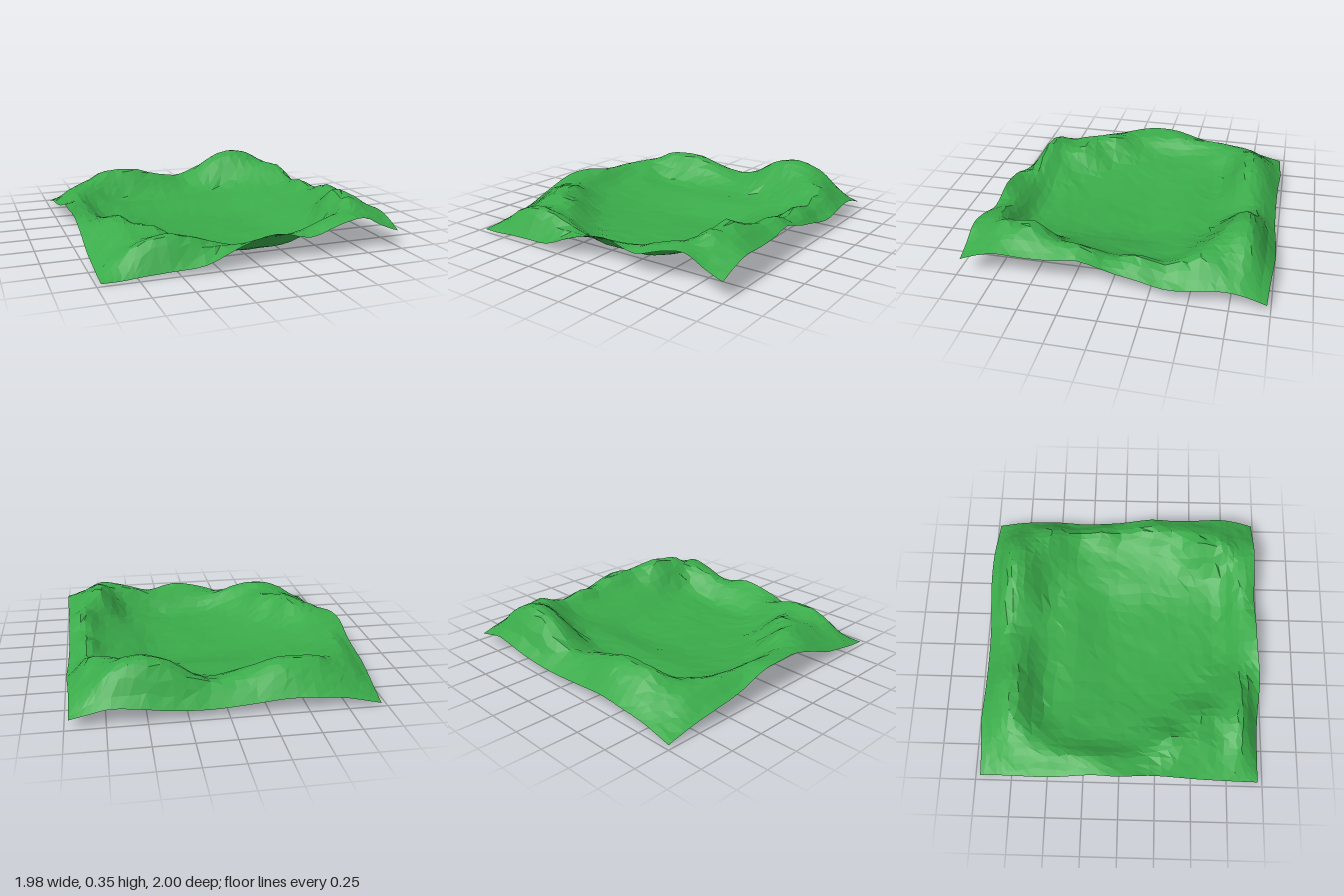
import * as THREE from 'three';

// Control lines, closer together near the rim; used for both x and z
const LINES = [-0.97, -0.85, -0.72, -0.55, -0.35, -0.12, 0.12, 0.35, 0.55, 0.72, 0.85, 0.97];

// Heights in hundredths: rows run back to front, columns run -x to +x
const HEIGHTS = [
  [1, 4, 7, 9, 9, 7, 6, 8, 11, 12, 9, 6],
  [4, 9, 15, 21, 23, 18, 18, 29, 33, 28, 18, 10],
  [7, 15, 20, 25, 26, 20, 15, 29, 34, 29, 21, 12],
  [10, 18, 18, 11, 9, 9, 9, 12, 20, 26, 25, 11],
  [13, 19, 13, 9, 7, 7, 7, 8, 11, 14, 18, 9],
  [19, 18, 10, 7, 4, 2, 1, 2, 8, 13, 21, 13],
  [20, 18, 12, 7, 3, 1, 1, 2, 8, 14, 23, 19],
  [14, 19, 21, 10, 4, 1, 1, 2, 8, 18, 25, 19],
  [7, 14, 20, 20, 6, 2, 1, 3, 9, 29, 28, 19],
  [4, 10, 16, 18, 12, 3, 2, 4, 13, 29, 26, 20],
  [2, 9, 17, 21, 18, 11, 12, 16, 23, 24, 21, 17],
  [1, 1, 2, 3, 5, 14, 19, 14, 20, 23, 17, 12],
];

// Small knolls and hollows on the rim: x, z, radius, height
const KNOLLS = [
  [0.91, 0.22, 0.09, 0.03],
  [0.85, 0.0, 0.09, -0.03],
  [0.87, -0.18, 0.09, 0.015],
  [0.72, 0.54, 0.07, 0.02],
  [0.74, 0.65, 0.05, -0.03],
  [0.72, 0.74, 0.06, 0.015],
  [-0.6, -0.73, 0.08, 0.02],
  [-0.88, -0.12, 0.1, 0.015],
  [-0.7, 0.32, 0.08, 0.015],
  [-0.62, 0.63, 0.07, -0.025],
];

// Smooth interpolation through a list of values at a fractional index
function sample(list, t) {
  const last = list.length - 1;
  const i = Math.min(Math.floor(t), last - 1);
  const f = t - i;
  const at = (k) => list[Math.max(0, Math.min(last, k))];
  const [a, b, c, d] = [at(i - 1), at(i), at(i + 1), at(i + 2)];
  return b + 0.5 * f * (c - a + f * (2 * a - 5 * b + 4 * c - d + f * (3 * (b - c) + d - a)));
}

const bump = (x, centre, width) => Math.exp(-(((x - centre) / width) ** 2));

function heightAt(u, v, x, z) {
  const base = sample(HEIGHTS.map((row) => sample(row, u)), v) / 100;
  return KNOLLS.reduce((y, [kx, kz, r, h]) => y + h * bump(x, kx, r) * bump(z, kz, r), base);
}

// Repeatable noise
function seeded(seed) {
  return () => {
    seed = (seed * 16807) % 2147483647;
    return seed / 2147483647;
  };
}

export function createModel() {
  const group = new THREE.Group();
  group.name = 'terrain';

  const cells = 33;
  const span = LINES.length - 1;
  const random = seeded(41);
  const geometry = new THREE.PlaneGeometry(2, 2, cells, cells).rotateX(-Math.PI / 2);
  const pos = geometry.attributes.position;

  // Drape the sheet over the height grid, with slightly irregular facets
  for (let n = 0; n < pos.count; n++) {
    const col = n % (cells + 1);
    const row = Math.floor(n / (cells + 1));
    const onBorder = col === 0 || col === cells || row === 0 || row === cells;
    const jitter = (size) => (onBorder ? 0 : (random() - 0.5) * size);
    const u = (col / cells) * span + jitter(0.2);
    const v = (row / cells) * span + jitter(0.2);
    const x0 = sample(LINES, u);
    let x = x0;
    let z = sample(LINES, v);
    const y = heightAt(u, v, x, z) + jitter(0.006);

    // Gentle outward bulges along the four borders
    if (col === 0) x -= 0.018 * (bump(z, -0.5, 0.25) + bump(z, 0, 0.15));
    if (col === cells) x += 0.018 * (bump(z, -0.45, 0.2) + bump(z, 0.75, 0.35));
    if (row === 0) z -= 0.03 * bump(x0, 0.5, 0.35) + 0.012 * bump(x0, -0.58, 0.15);
    if (row === cells) z += 0.03 * bump(x0, -0.27, 0.22);
    pos.setXYZ(n, x, Math.max(0, y), z);
  }

  const flat = geometry.toNonIndexed();
  flat.computeVertexNormals();
  flat.computeBoundingBox();
  flat.translate(0, -flat.boundingBox.min.y, 0);

  const material = new THREE.MeshStandardMaterial({
    color: 0x3aab4a,
    flatShading: true,
    side: THREE.DoubleSide,
  });
  const ground = new THREE.Mesh(flat, material);
  ground.name = 'grassBasin';
  group.add(ground);
  return group;
}
